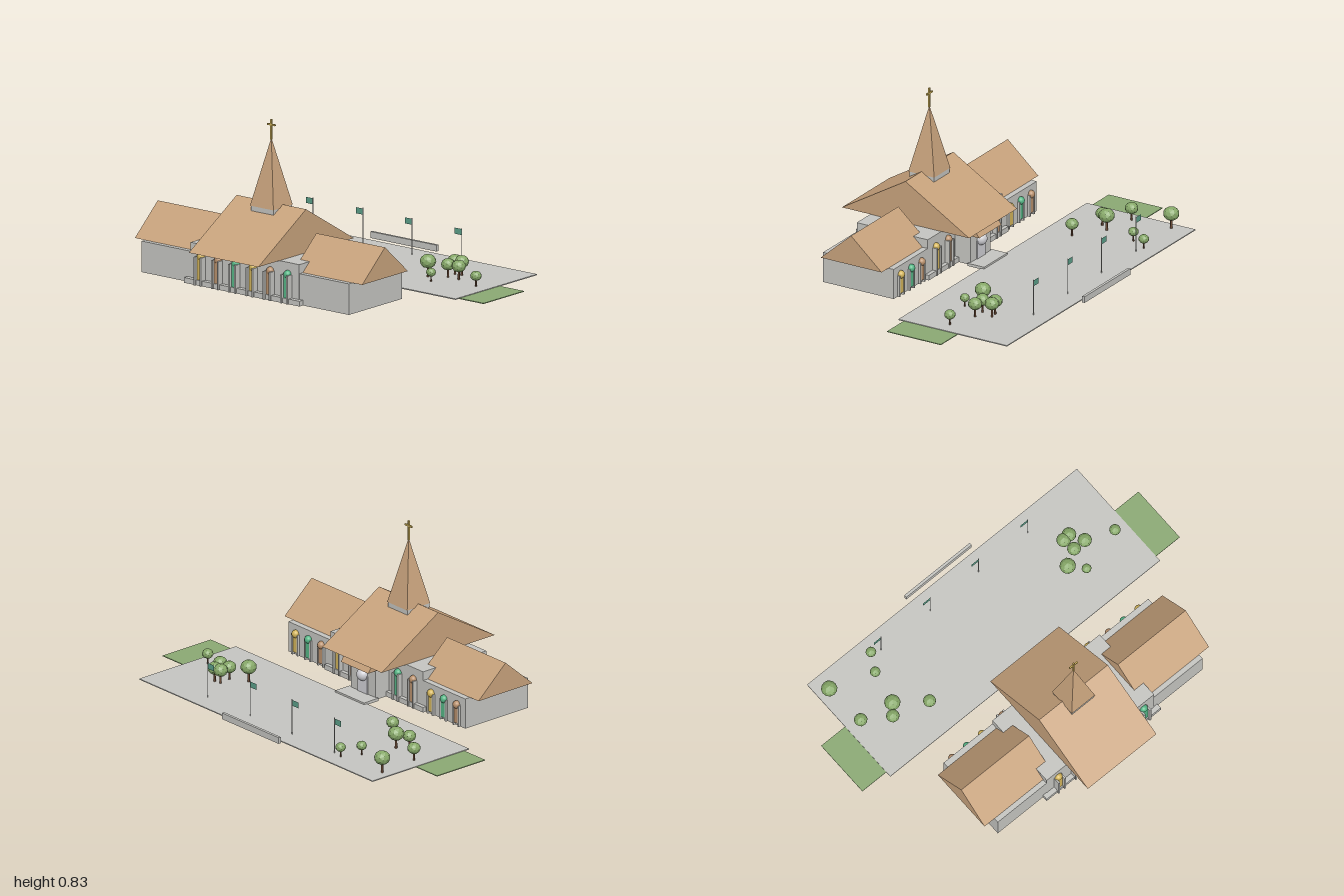
import * as THREE from 'three';

const mat = (name, color, extra = {}) => {
  const m = new THREE.MeshStandardMaterial({ color, ...extra });
  m.name = name;
  return m;
};

export function createModel() {
  const root = new THREE.Group();
  root.name = 'church';
  const stone = mat('stone', 0xc4c4c0);
  const roofTan = mat('roof tan', 0xc7a27c);
  const gold = mat('gold', 0xd2b45a);
  const teal = mat('teal green', 0x55b585);
  const copper = mat('copper', 0xb8906c);
  const grass = mat('grass', 0x8aa873);
  const leaf = mat('leaf', 0x86a868, { flatShading: true });
  const bark = mat('bark', 0x6b4a35);
  const pale = mat('pale door', 0xcfcfd4);
  const flagMat = mat('flag', 0x5a9e88, { side: THREE.DoubleSide });

  const add = (name, geo, material, x = 0, y = 0, z = 0, parent = root) => {
    const m = new THREE.Mesh(geo, material);
    m.name = name;
    m.position.set(x, y, z);
    parent.add(m);
    return m;
  };
  // box given by its minimum and maximum along each axis
  const box = (name, material, x0, x1, y0, y1, z0, z1, parent = root) =>
    add(name, new THREE.BoxGeometry(x1 - x0, y1 - y0, z1 - z0), material,
      (x0 + x1) / 2, (y0 + y1) / 2, (z0 + z1) / 2, parent);
  // profile of [z, y] points extruded along x from x0 to x1
  const prism = (name, pts, x0, x1) => {
    const shape = new THREE.Shape(pts.map(([z, y]) => new THREE.Vector2(-z, y)));
    const geo = new THREE.ExtrudeGeometry(shape, { depth: x1 - x0, bevelEnabled: false });
    geo.rotateY(Math.PI / 2);
    return add(name, geo, roofTan, x0, 0, 0);
  };

  // ground
  box('plaza', stone, -0.85, 0.85, 0.004, 0.009, -0.65, -0.035);
  box('lawn', grass, -1, 1, 0.002, 0.006, -0.37, -0.065);

  // walls
  box('wingWalls', stone, -0.645, 0.645, 0.006, 0.16, 0.12, 0.52);
  box('hallWalls', stone, -0.338, 0.338, 0.006, 0.205, 0.12, 0.522);
  box('frontPlinth', stone, -0.36, 0.36, 0.006, 0.032, 0.5, 0.547);
  box('backPlinth', stone, -0.36, 0.36, 0.006, 0.032, 0.1, 0.13);

  // roofs
  prism('mainRoof', [[-0.038, 0.205], [0.323, 0.42], [0.683, 0.205]], -0.216, 0.216);
  for (const s of [-1, 1])
    prism('wingRoof', [[0.15, 0.16], [0.323, 0.312], [0.495, 0.16]],
      s > 0 ? 0.28 : -0.707, s > 0 ? 0.707 : -0.28);

  // steeple
  box('steepleBase', stone, -0.07, 0.07, 0.38, 0.408, 0.253, 0.393);
  const spire = new THREE.ConeGeometry(0.073 * Math.SQRT2, 0.335, 4, 1).toNonIndexed();
  spire.rotateY(Math.PI / 4);
  spire.computeVertexNormals();
  add('spire', spire, roofTan, 0, 0.5725, 0.323);
  box('crossPost', gold, -0.004, 0.004, 0.73, 0.83, 0.319, 0.327);
  box('crossArm', gold, -0.025, 0.025, 0.8, 0.808, 0.319, 0.327);

  // arched windows: pane with a ball head, framed by two posts
  const ball = new THREE.SphereGeometry(0.02, 20, 14);
  const archWindow = (x, z, dir, material, headY, baseY, depth) => {
    const g = new THREE.Group();
    g.name = 'archWindow';
    g.position.set(x, 0, z);
    root.add(g);
    add('windowHead', ball, material, 0, headY, dir * 0.004, g);
    add('windowPane', new THREE.BoxGeometry(0.028, headY - baseY, 0.008), material,
      0, (headY + baseY) / 2, dir * (depth * 0.45), g);
    for (const s of [-1, 1])
      add('windowPost', new THREE.BoxGeometry(0.009, headY - 0.006, depth), stone,
        s * 0.0185, (headY + 0.006) / 2, dir * depth / 2, g);
  };
  const trio = [gold, copper, teal];
  for (let i = 0; i < 6; i++)
    archWindow((i - 2.5) * 0.1075, 0.522, 1, trio[i % 3], 0.147, 0.03, 0.034);
  [[-0.27, copper], [-0.16, teal], [0.16, copper], [0.27, gold]].forEach(([x, m]) =>
    archWindow(x, 0.12, -1, m, 0.147, 0.03, 0.025));
  [[-0.587, copper], [-0.494, teal], [-0.4, gold], [0.4, copper], [0.494, teal], [0.587, gold]]
    .forEach(([x, m]) => archWindow(x, 0.12, -1, m, 0.115, 0.02, 0.012));

  // back entrance
  box('porch', stone, -0.09, 0.09, 0.006, 0.17, 0.033, 0.13);
  prism('porchRoof', [[-0.022, 0.16], [0.012, 0.207], [0.125, 0.207], [0.125, 0.16]], -0.1, 0.1);
  box('porchStep', stone, -0.105, 0.105, 0.004, 0.018, -0.053, 0.04);
  box('door', pale, -0.035, 0.035, 0, 0.11, 0.028, 0.036);
  add('doorHead', new THREE.SphereGeometry(0.032, 24, 16), pale, 0, 0.112, 0.032);

  // low wall beyond the plaza
  box('lowWall', stone, -0.206, 0.206, 0.01, 0.042, -0.686, -0.672);

  // flagpoles
  for (const x of [-0.465, -0.155, 0.15, 0.46]) {
    add('flagpole', new THREE.CylinderGeometry(0.002, 0.002, 0.185, 8), stone, x, 0.0985, -0.555);
    add('flag', new THREE.PlaneGeometry(0.045, 0.03), flagMat, x - 0.0225, 0.172, -0.555);
  }

  // trees: x, z, crown radius
  const crown = new THREE.IcosahedronGeometry(1, 1);
  [[-0.8, -0.545, 0.04], [-0.52, -0.565, 0.026], [-0.57, -0.475, 0.026], [-0.785, -0.33, 0.033],
    [-0.615, -0.295, 0.04], [-0.655, -0.245, 0.033], [-0.47, -0.19, 0.032], [0.55, -0.395, 0.036],
    [0.587, -0.4, 0.036], [0.56, -0.33, 0.034], [0.627, -0.33, 0.035], [0.477, -0.28, 0.04],
    [0.545, -0.22, 0.024], [0.775, -0.28, 0.028]].forEach(([x, z, r]) => {
    const tree = new THREE.Group();
    tree.name = 'tree';
    tree.position.set(x, 0.006, z);
    root.add(tree);
    add('crown', crown, leaf, 0, r * 2, 0, tree).scale.set(r, r * 0.88, r);
    add('trunk', new THREE.CylinderGeometry(r * 0.13, r * 0.16, r * 1.6, 8), bark, 0, r * 0.8, 0, tree);
  });

  return root;
}
